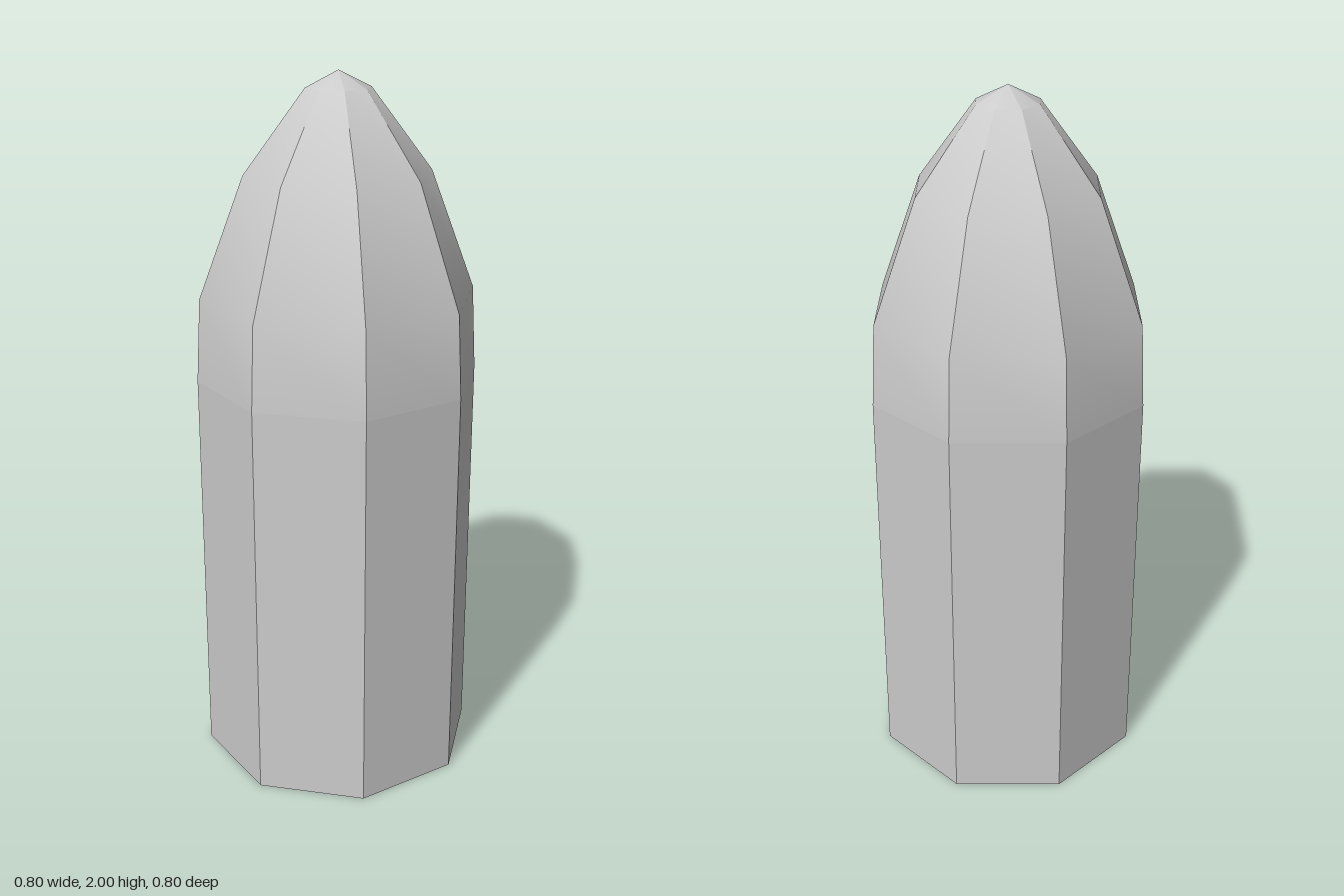
import * as THREE from 'three';
import { toCreasedNormals } from 'three/addons/utils/BufferGeometryUtils.js';

const SIDES = 8;

// Eight-sided turned part, with edges sharper than 30 degrees kept crisp
function turned(name, profile, material) {
  const points = profile.map(([r, y]) => new THREE.Vector2(r, y));
  const geometry = toCreasedNormals(new THREE.LatheGeometry(points, SIDES), Math.PI / 6);
  const mesh = new THREE.Mesh(geometry, material);
  mesh.name = name;
  return mesh;
}

export function createModel() {
  const model = new THREE.Group();
  model.name = 'bullet';
  const grey = new THREE.MeshStandardMaterial({ color: 0xcccccc });

  // Straight body with a closed base
  model.add(turned('body', [[0, 0], [0.4, 0], [0.4, 1.16]], grey));

  // Curved nose tapering to the tip
  model.add(turned('nose', [[0.4, 1.16], [0.387, 1.395], [0.26, 1.73], [0.09, 1.955], [0, 2]], grey));

  return model;
}
